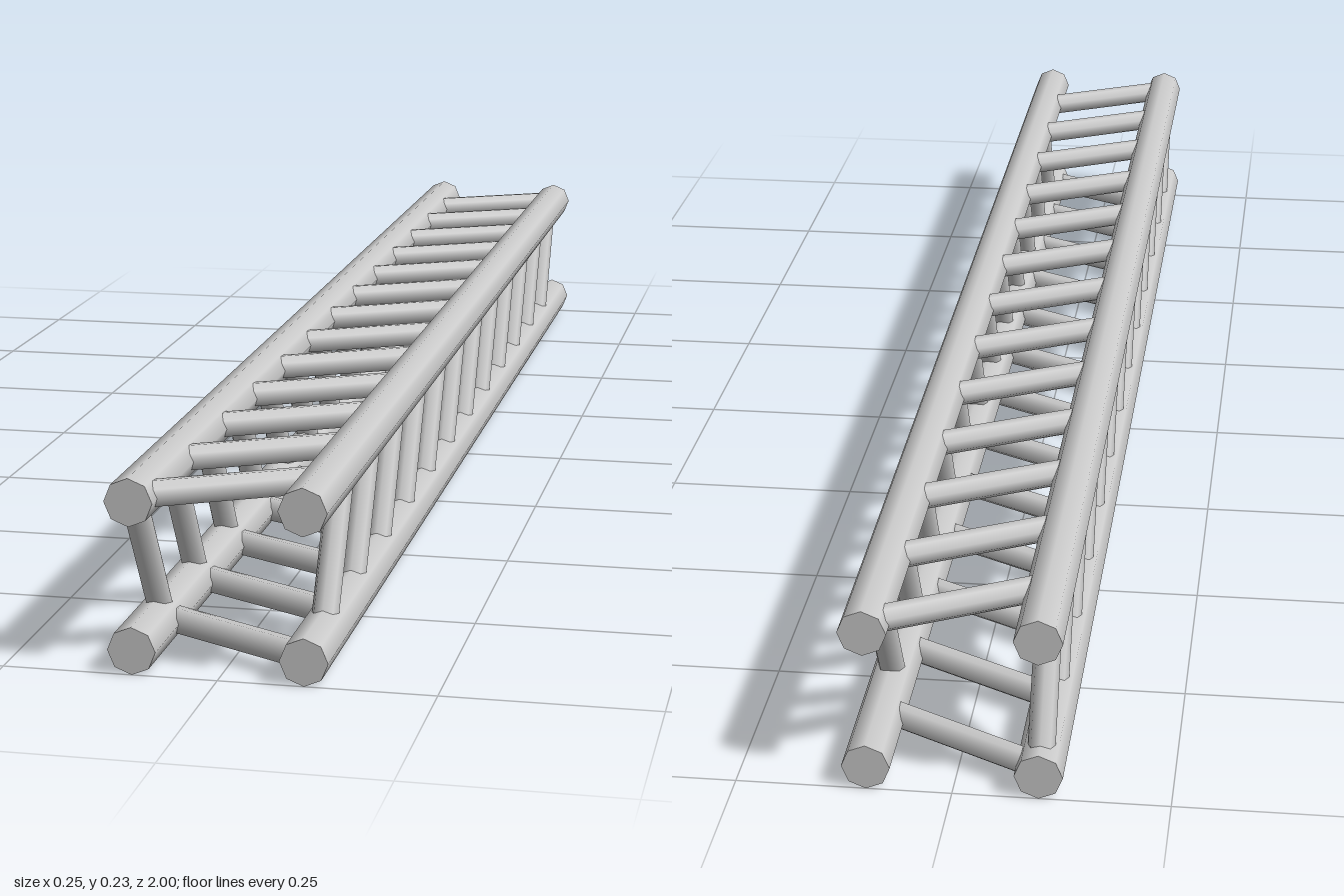
import * as THREE from 'three';

const material = new THREE.MeshStandardMaterial({ color: 0xcccccc });
const UP = new THREE.Vector3(0, 1, 0);

// Eight-sided tube between two points
function tube(name, from, to, radius) {
  const a = new THREE.Vector3(...from);
  const b = new THREE.Vector3(...to);
  const axis = b.clone().sub(a);
  const mesh = new THREE.Mesh(new THREE.CylinderGeometry(radius, radius, axis.length(), 8), material);
  mesh.name = name;
  mesh.position.copy(a).add(b).multiplyScalar(0.5);
  mesh.quaternion.setFromUnitVectors(UP, axis.normalize());
  return mesh;
}

export function createModel() {
  const truss = new THREE.Group();
  truss.name = 'boxTruss';

  const X = 0.099, LOW = 0.029, HIGH = 0.202;
  const CHORD_R = 0.028, BRACE_R = 0.016;
  const PITCH = 0.154, LEAN = 0.053;

  // Four long corner chords
  for (const [side, x] of [['left', X], ['right', -X]]) {
    for (const [level, y] of [['Lower', LOW], ['Upper', HIGH]]) {
      truss.add(tube(`${side}${level}Chord`, [x, y, 1], [x, y, -1], CHORD_R));
    }
  }

  // A row of parallel diagonals on one face, from corner a to corner b
  function braceRow(name, a, b, count) {
    const row = new THREE.Group();
    row.name = name;
    for (let i = 0; i < count; i++) {
      const z = ((count - 1) / 2 - i) * PITCH;
      row.add(tube('diagonalBrace', [...a, z + LEAN], [...b, z - LEAN], BRACE_R));
    }
    truss.add(row);
  }

  // Each face leans opposite to the one across from it
  braceRow('topBraces', [-X, HIGH + 0.003], [X, HIGH + 0.003], 13);
  braceRow('bottomBraces', [X, LOW], [-X, LOW], 13);
  braceRow('rightBraces', [-X, HIGH], [-X, LOW], 13);
  braceRow('leftBraces', [X, LOW], [X, HIGH], 12);

  return truss;
}
